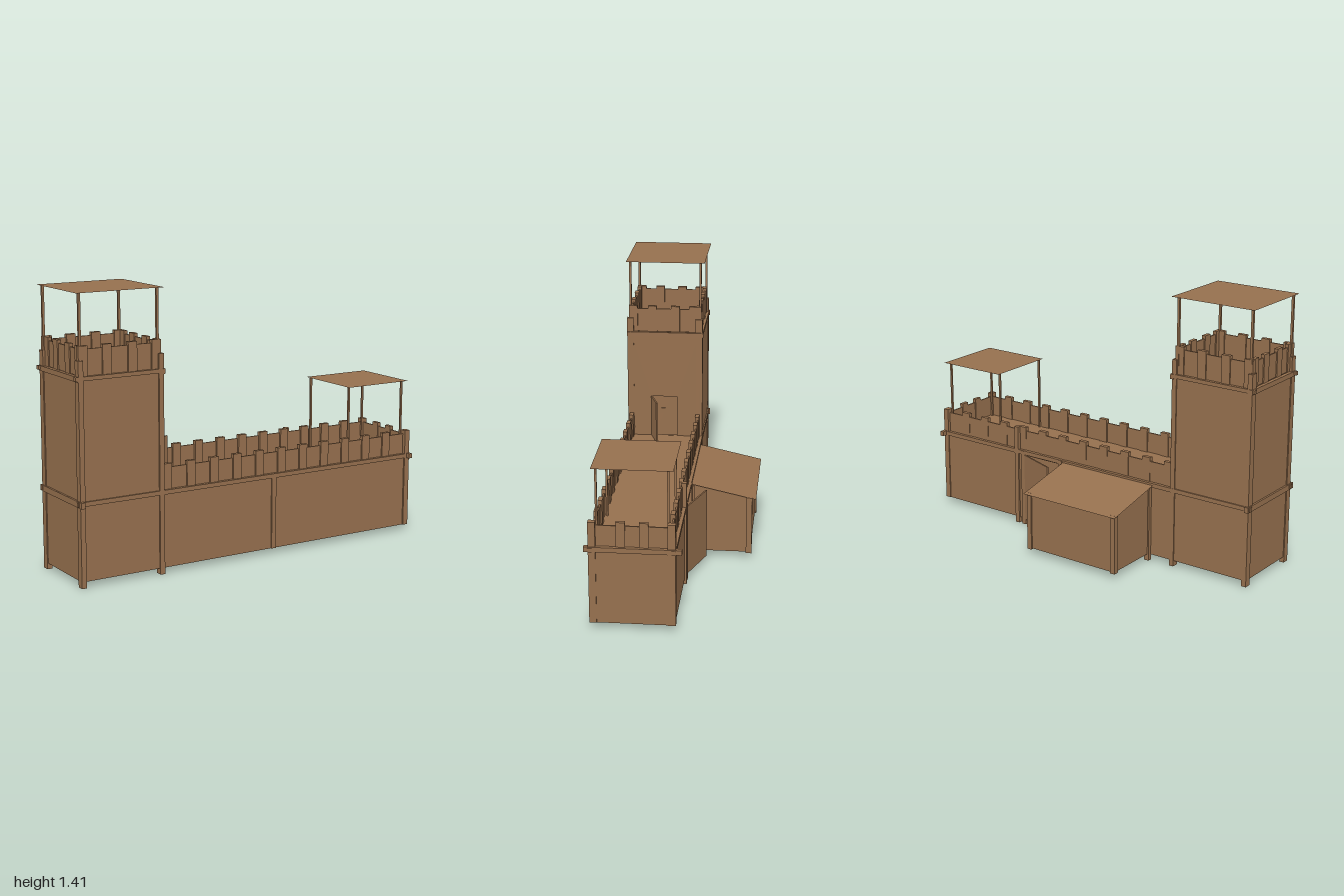
import * as THREE from 'three';

const wood = new THREE.MeshStandardMaterial({ color: 0x96704e, side: THREE.DoubleSide });
wood.name = 'brown wood';

export function createModel() {
  const model = new THREE.Group();
  model.name = 'woodenFort';

  // Box from min/max limits on each axis
  function box(name, x0, x1, y0, y1, z0, z1) {
    const mesh = new THREE.Mesh(new THREE.BoxGeometry(x1 - x0, y1 - y0, z1 - z0), wood);
    mesh.position.set((x0 + x1) / 2, (y0 + y1) / 2, (z0 + z1) / 2);
    mesh.name = name;
    model.add(mesh);
    return mesh;
  }

  // Thin wall with rectangular openings [u0, u1, v0, v1], drawn in xy and extruded along z
  function wall(name, u0, u1, v0, v1, holes, depth = 0.01) {
    const rect = (P, a, b, c, d) => {
      const p = new P();
      p.moveTo(a, c); p.lineTo(b, c); p.lineTo(b, d); p.lineTo(a, d); p.closePath();
      return p;
    };
    const shape = rect(THREE.Shape, u0, u1, v0, v1);
    holes.forEach(h => shape.holes.push(rect(THREE.Path, ...h)));
    const mesh = new THREE.Mesh(new THREE.ExtrudeGeometry(shape, { depth, bevelEnabled: false }), wood);
    mesh.name = name;
    model.add(mesh);
    return mesh;
  }

  // Open door leaf standing between two plan points
  function leaf(name, xa, za, xb, zb, y0, y1) {
    const mesh = new THREE.Mesh(new THREE.BoxGeometry(Math.hypot(xb - xa, zb - za), y1 - y0, 0.008), wood);
    mesh.position.set((xa + xb) / 2, (y0 + y1) / 2, (za + zb) / 2);
    mesh.rotation.y = -Math.atan2(zb - za, xb - xa);
    mesh.name = name;
    model.add(mesh);
  }

  // Flat roof sheet; yBack is the height at z0
  function sheet(name, x0, x1, z0, z1, yBack, yFront) {
    const g = new THREE.PlaneGeometry(1, 1);
    const p = g.attributes.position;
    for (let i = 0; i < p.count; i++) {
      const front = p.getY(i) < 0;
      p.setXYZ(i, p.getX(i) < 0 ? x0 : x1, front ? yFront : yBack, front ? z1 : z0);
    }
    g.computeVertexNormals();
    const mesh = new THREE.Mesh(g, wood);
    mesh.name = name;
    model.add(mesh);
  }

  // Lower walls, open underneath
  box('frontWall', -0.98, 0.98, 0.03, 0.42, 0.345, 0.355);
  box('rightTowerEndWall', -0.98, -0.97, 0.03, 1.02, -0.045, 0.355);
  box('leftEndWall', 0.97, 0.98, 0.03, 0.42, -0.04, 0.355);
  const back = wall('backWall', -0.98, 0.98, 0.03, 0.42, [
    [-0.36, -0.08, 0.031, 0.35],
    [0.18, 0.41, 0.031, 0.395]
  ]);
  back.position.z = -0.045;
  leaf('backGateLeaf', 0.41, -0.05, 0.19, -0.13, 0.03, 0.4);
  box('walkway', -0.53, 0.97, 0.41, 0.42, -0.035, 0.345);

  // Tower walls and deck
  box('towerFrontWall', -0.98, -0.53, 0.42, 1.02, 0.345, 0.355);
  box('towerBackWall', -0.98, -0.53, 0.42, 1.02, -0.045, -0.035);
  const side = wall('towerDoorWall', -0.345, 0.035, 0.42, 1.02, [[-0.23, -0.09, 0.421, 0.65]]);
  side.rotation.y = Math.PI / 2;
  side.position.x = -0.54;
  leaf('towerDoorLeaf', -0.53, 0.23, -0.415, 0.19, 0.42, 0.65);
  box('towerDeck', -0.97, -0.54, 1.0, 1.015, -0.035, 0.345);

  // Posts
  for (const [z0, z1] of [[0.328, 0.363], [-0.05, -0.012]]) {
    for (const x of [-0.985, -0.555]) box('towerPost', x, x + 0.026, 0, 1.095, z0, z1);
    box('endPost', 0.955, 0.985, 0.03, 0.55, z0, z1);
  }
  box('frontMiddlePost', 0.1, 0.126, 0.03, 0.41, 0.335, 0.362);
  box('backPost', 0.405, 0.43, 0, 0.42, -0.055, -0.03);
  box('backPost', 0.45, 0.475, 0, 0.55, -0.055, -0.03);
  box('backPost', 0.155, 0.18, 0, 0.42, -0.055, -0.03);

  // Horizontal beams
  for (const z of [-0.052, 0.343]) {
    box('wallBeam', -0.995, 0.995, 0.4, 0.422, z, z + 0.02);
    box('towerBeam', -1, -0.52, 1.0, 1.02, z, z + 0.02);
  }
  box('endBeam', -0.99, -0.968, 0.395, 0.425, -0.06, 0.382);
  box('endBeam', 0.968, 0.99, 0.4, 0.425, -0.08, 0.384);
  for (const x of [-0.99, -0.54]) box('towerSideBeam', x, x + 0.018, 0.995, 1.02, -0.055, 0.364);

  // Wall parapets with raised planks
  for (const [z, zp] of [[0.336, 0.33], [-0.034, -0.036]]) {
    box('wallParapet', -0.53, 0.975, 0.42, 0.53, z, z + 0.008);
    for (let i = 0; i < 11; i++) {
      const x = -0.505 + i * 0.134;
      box('wallMerlon', x - 0.024, x + 0.024, 0.42, 0.55, zp, zp + 0.022);
    }
  }
  box('endParapet', 0.962, 0.97, 0.42, 0.53, -0.03, 0.34);
  for (const z of [0.21, 0.1]) box('endMerlon', 0.957, 0.977, 0.42, 0.55, z - 0.022, z + 0.022);

  // Tower parapets with raised planks
  for (const z of [0.338, -0.034]) {
    box('towerParapet', -0.965, -0.55, 1.02, 1.147, z, z + 0.008);
    for (const x of [-0.955, -0.828, -0.692, -0.565])
      box('towerMerlon', x - 0.024, x + 0.024, 1.02, 1.163, z - 0.006, z + 0.016);
  }
  for (const x of [-0.967, -0.553]) {
    box('towerSideParapet', x, x + 0.008, 1.02, 1.147, -0.03, 0.342);
    for (const z of [0.33, 0.225, 0.1, 0.0])
      box('towerSideMerlon', x - 0.006, x + 0.014, 1.02, 1.163, z - 0.024, z + 0.024);
  }

  // Canopies on thin poles
  for (const z of [0.345, -0.036]) {
    for (const x of [-0.968, -0.555]) box('towerRoofPole', x - 0.006, x + 0.006, 1.015, 1.41, z - 0.006, z + 0.006);
  }
  for (const z of [0.324, -0.014]) {
    for (const x of [0.604, 0.952]) box('wallRoofPole', x - 0.005, x + 0.005, 0.42, 0.815, z - 0.005, z + 0.005);
  }
  sheet('towerRoof', -0.99, -0.523, -0.06, 0.365, 1.41, 1.41);
  sheet('wallRoof', 0.592, 0.98, -0.04, 0.345, 0.815, 0.815);

  // Lean-to hut at the back
  sheet('hutRoof', -0.425, 0.15, -0.385, -0.045, 0.338, 0.413);
  box('hutBackWall', -0.4, 0.13, 0.035, 0.342, -0.357, -0.348);
  for (const x of [-0.405, 0.125]) {
    const s = new THREE.Shape([[0.05, 0.035], [0.35, 0.035], [0.35, 0.345], [0.05, 0.41]]
      .map(([a, b]) => new THREE.Vector2(a, b)));
    const mesh = new THREE.Mesh(new THREE.ExtrudeGeometry(s, { depth: 0.01, bevelEnabled: false }), wood);
    mesh.rotation.y = Math.PI / 2;
    mesh.position.x = x;
    mesh.name = 'hutSideWall';
    model.add(mesh);
    box('hutPost', x - 0.008, x + 0.018, 0.03, 0.343, -0.365, -0.335);
    box('hutInnerPost', x - 0.008, x + 0.018, 0, 0.4, -0.065, -0.04);
  }

  return model;
}
